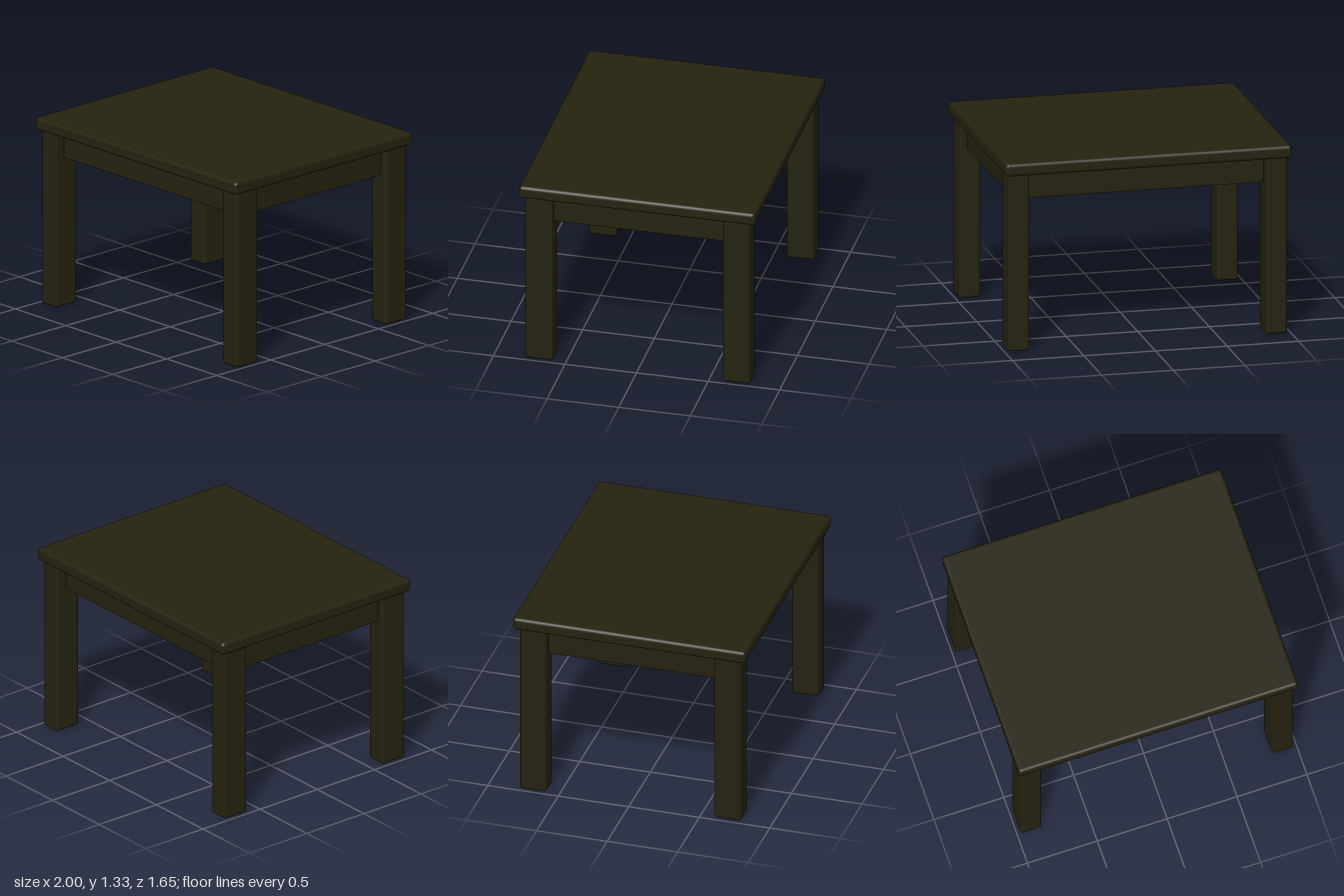
import * as THREE from 'three';
import { RoundedBoxGeometry } from 'three/addons/geometries/RoundedBoxGeometry.js';

export function createModel() {
  const table = new THREE.Group();
  table.name = 'table';

  const darkWood = new THREE.MeshStandardMaterial({ color: 0x25220f });
  darkWood.name = 'darkWood';

  const add = (name, geometry, x, y, z) => {
    const mesh = new THREE.Mesh(geometry, darkWood);
    mesh.name = name;
    mesh.position.set(x, y, z);
    table.add(mesh);
  };

  // Slab with softly rounded edges
  const top = 1.33, underside = 1.24, apronBottom = 1.055;
  add('tabletop', new RoundedBoxGeometry(2, top - underside, 1.65, 3, 0.024), 0, (top + underside) / 2, 0);

  // Four rectangular legs, just touching the slab
  const legX = 0.9, legZ = 0.69, legWidth = 0.147, legDepth = 0.19;
  const legHeight = underside + 0.005;
  const legGeometry = new RoundedBoxGeometry(legWidth, legHeight, legDepth, 3, 0.016);
  for (const [sideName, sx] of [['Left', 1], ['Right', -1]]) {
    for (const [endName, sz] of [['front', 1], ['back', -1]]) {
      add(`${endName}${sideName}Leg`, legGeometry, sx * legX, legHeight / 2, sz * legZ);
    }
  }

  // Thin apron boards on the leg centre lines, set back from the leg faces
  const apronHeight = underside - apronBottom + 0.01;
  const apronY = apronBottom + apronHeight / 2;
  const longApron = new THREE.BoxGeometry(2 * legX - legWidth + 0.04, apronHeight, 0.04);
  const shortApron = new THREE.BoxGeometry(0.04, apronHeight, 2 * legZ - legDepth + 0.04);
  add('frontApron', longApron, 0, apronY, legZ);
  add('backApron', longApron, 0, apronY, -legZ);
  add('leftApron', shortApron, legX, apronY, 0);
  add('rightApron', shortApron, -legX, apronY, 0);

  return table;
}
